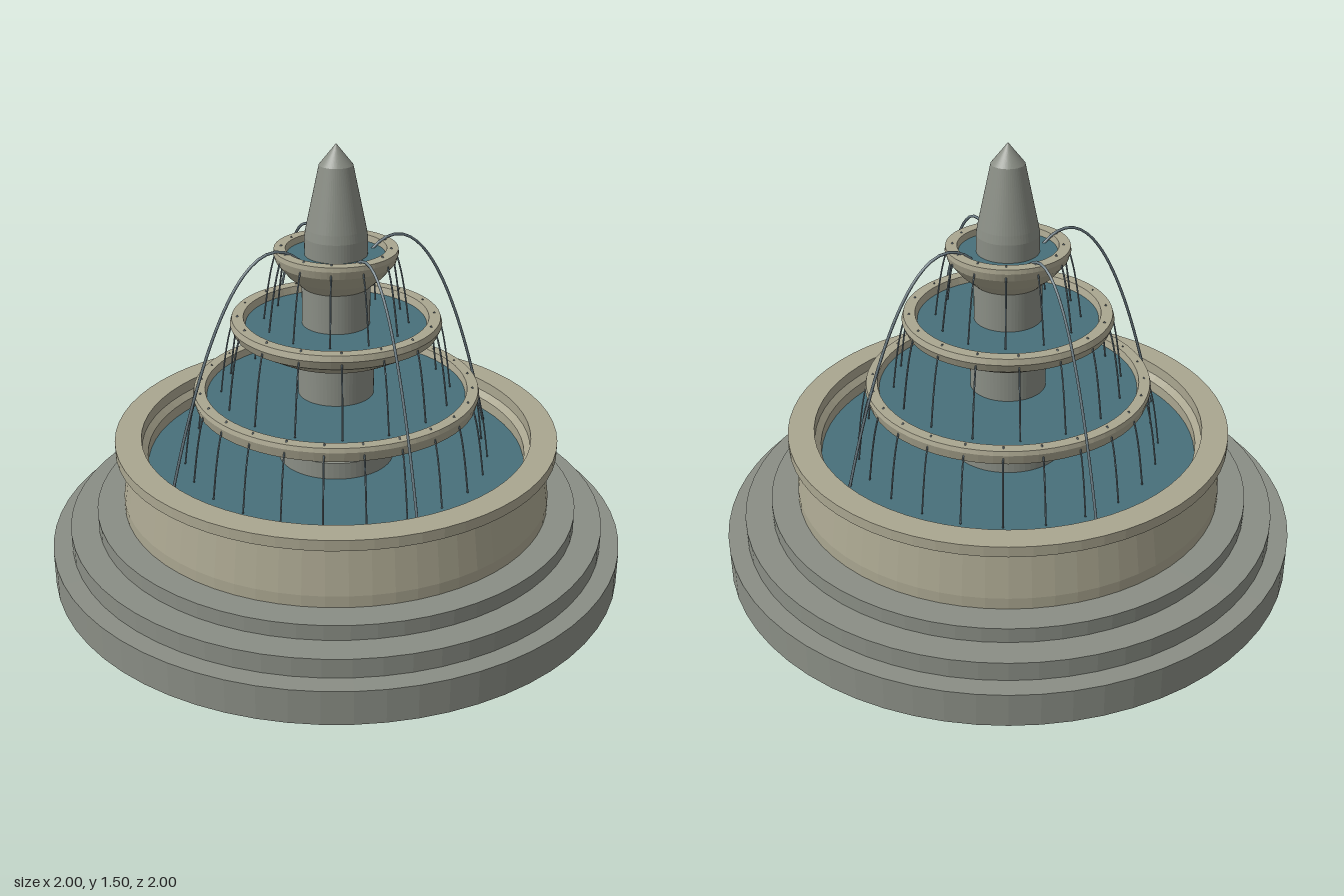
import * as THREE from 'three';

const SEGMENTS = 64;

const paint = (color, extra = {}) => new THREE.MeshStandardMaterial({ color, ...extra });
const greyStone = paint(0x8a8e85, { flatShading: true });
const paleStone = paint(0xaaa690, { flatShading: true });
const water = paint(0x48707a);
const spray = paint(0x6f8088);

export function createModel() {
  const fountain = new THREE.Group();
  fountain.name = 'fountain';

  function add(name, geometry, material, parent = fountain) {
    const mesh = new THREE.Mesh(geometry, material);
    mesh.name = name;
    parent.add(mesh);
    return mesh;
  }

  // Turned part from [radius, height] pairs, listed up the outside then inwards
  function turned(name, profile, material) {
    const points = profile.map(([r, y]) => new THREE.Vector2(r, y));
    return add(name, new THREE.LatheGeometry(points, SEGMENTS), material);
  }

  function drum(name, radius, bottom, top) {
    const geometry = new THREE.CylinderGeometry(radius, radius, top - bottom, SEGMENTS);
    return add(name, geometry, greyStone).translateY((bottom + top) / 2);
  }

  function pool(name, radius, y) {
    const geometry = new THREE.CircleGeometry(radius, SEGMENTS).rotateX(-Math.PI / 2);
    add(name, geometry, water).position.y = y;
  }

  // Ring of identical water streams; path gives [distance out, height]
  function streams(name, count, path, radius, steps) {
    const curve = new THREE.CatmullRomCurve3(path.map(([r, y]) => new THREE.Vector3(r, y, 0)));
    const geometry = new THREE.TubeGeometry(curve, steps, radius, 6);
    const ring = new THREE.Group();
    ring.name = name;
    fountain.add(ring);
    for (let i = 0; i < count; i++) {
      add('stream', geometry, spray, ring).rotation.y = (i / count) * Math.PI * 2;
    }
  }

  // Three round steps
  drum('lowerStep', 1, 0, 0.12);
  drum('middleStep', 0.935, 0.12, 0.187);
  drum('upperStep', 0.84, 0.187, 0.24);

  // Main basin with an overhanging lip
  turned('basin', [
    [0.745, 0.24], [0.745, 0.28], [0.722, 0.43], [0.715, 0.44], [0.765, 0.453],
    [0.765, 0.49], [0.675, 0.49], [0.675, 0.45], [0.655, 0.43], [0.655, 0.25],
  ], paleStone);
  pool('basinWater', 0.66, 0.39);

  // Central pedestal and columns
  turned('pedestal', [[0.2, 0.24], [0.2, 0.45], [0.14, 0.47], [0.14, 0.52]], greyStone);
  drum('middleColumn', 0.13, 0.52, 0.78);
  drum('upperColumn', 0.115, 0.78, 1.04);

  // Stacked bowls
  turned('lowerBowl', [
    [0, 0.505], [0.14, 0.505], [0.3, 0.53], [0.42, 0.572], [0.483, 0.605],
    [0.492, 0.64], [0.488, 0.655], [0.45, 0.655], [0.44, 0.61],
  ], paleStone);
  pool('lowerBowlWater', 0.447, 0.63);

  turned('middleBowl', [
    [0, 0.762], [0.13, 0.762], [0.24, 0.8], [0.345, 0.86],
    [0.358, 0.89], [0.352, 0.91], [0.313, 0.91], [0.3, 0.865],
  ], paleStone);
  pool('middleBowlWater', 0.308, 0.885);

  turned('upperBowl', [
    [0, 1.02], [0.115, 1.02], [0.16, 1.06], [0.2, 1.108],
    [0.208, 1.135], [0.206, 1.15], [0.168, 1.15], [0.16, 1.105],
  ], paleStone);
  pool('upperBowlWater', 0.166, 1.128);

  // Tapered finial with a pointed cap
  turned('finial', [
    [0.105, 1.03], [0.105, 1.19], [0.1, 1.22], [0.056, 1.43], [0, 1.5],
  ], greyStone);

  // Water spilling over each rim into the pool below
  const spills = [
    ['lowerSpill', 24, 0.485, 0.655, 0.39],
    ['middleSpill', 16, 0.35, 0.91, 0.63],
    ['upperSpill', 12, 0.2, 1.15, 0.885],
  ];
  for (const [name, count, r, top, bottom] of spills) {
    const path = [0, 0.25, 0.5, 0.75, 1].map(t => [
      r - 0.02 + 0.065 * t, top + 0.004 - (top - bottom) * t * t,
    ]);
    streams(name, count, path, 0.003, 10);
  }

  // Four tall jets arching from the top bowl to the basin
  const arc = [];
  for (let i = 0; i <= 12; i++) {
    const r = 0.11 + (0.603 - 0.11) * (i / 12);
    arc.push([r, 1.165 - 5.3 * (r - 0.22) ** 2]);
  }
  streams('jets', 4, arc, 0.005, 32);

  return fountain;
}
